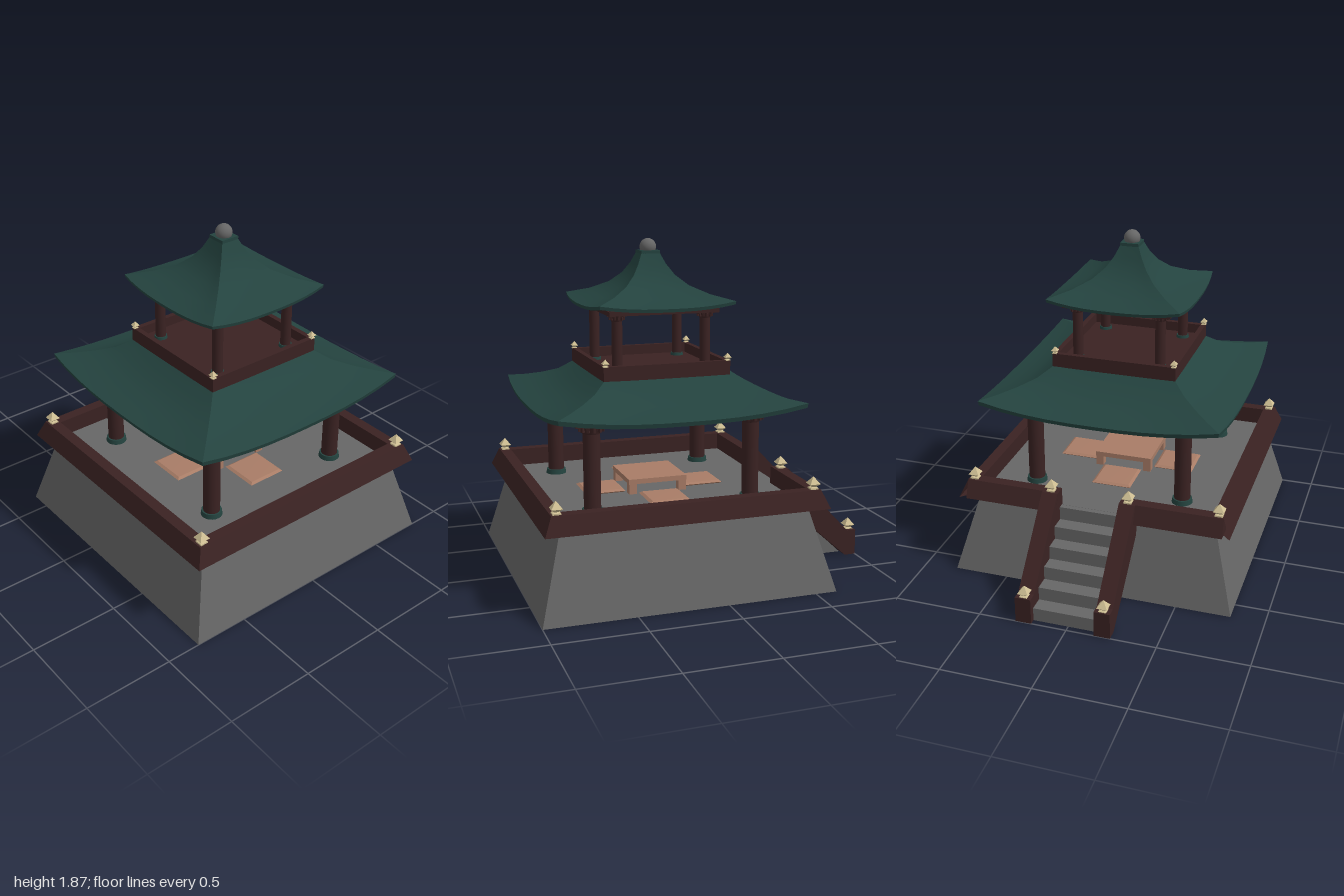
import * as THREE from 'three';
import { toCreasedNormals } from 'three/addons/utils/BufferGeometryUtils.js';

const mat = (name, color) => {
  const m = new THREE.MeshStandardMaterial({ color, side: THREE.DoubleSide });
  m.name = name;
  return m;
};

export function createModel() {
  const stone = mat('grey stone', 0x666666);
  const wood = mat('dark red wood', 0x3a2222);
  const tile = mat('dark teal tile', 0x24433f);
  const cream = mat('cream finial', 0xcdbd92);
  const tan = mat('tan furniture', 0xa87c66);

  const model = new THREE.Group();
  model.name = 'pavilion';
  const tower = new THREE.Group(); // everything centred on the tower axis
  tower.name = 'tower';
  tower.position.x = 0.19;
  model.add(tower);

  const add = (parent, name, geo, material, x = 0, y = 0, z = 0) => {
    const mesh = new THREE.Mesh(geo, material);
    mesh.name = name;
    mesh.position.set(x, y, z);
    parent.add(mesh);
    return mesh;
  };
  const box = (parent, name, m, w, h, d, x, y, z) =>
    add(parent, name, new THREE.BoxGeometry(w, h, d), m, x, y, z);
  const corners = (fn) => [-1, 1].forEach((sx) => [-1, 1].forEach((sz) => fn(sx, sz)));

  // Square ring or frustum swept from [half width, height] points
  const square = (points, sides = 4) => {
    const pts = points.map(([h, y]) => new THREE.Vector2(h * Math.SQRT2, y));
    const start = sides === 4 ? Math.PI / 4 : -Math.PI / 4;
    return toCreasedNormals(new THREE.LatheGeometry(pts, sides, start, sides * Math.PI / 2), 0.2);
  };
  // Side outline in x and y, given a depth along z
  const slab = (points, depth) => new THREE.ExtrudeGeometry(
    new THREE.Shape(points.map(([x, y]) => new THREE.Vector2(x, y))),
    { depth, bevelEnabled: false });

  const finialGeo = square([[0, 0], [0.022, 0], [0.022, 0.008], [0.011, 0.013], [0.03, 0.03], [0, 0.07]]);
  const finial = (parent, x, y, z, s = 1) =>
    add(parent, 'finial', finialGeo, cream, x, y, z).scale.setScalar(s);

  // Hollow stone base and its floor
  add(tower, 'baseWalls', square([[0.81, 0], [0.685, 0.46]]), stone);
  add(tower, 'floor', new THREE.PlaneGeometry(1.37, 1.37).rotateX(-Math.PI / 2), stone, 0, 0.46, 0);

  // Parapet on three sides, with a gap for the stairs on the fourth
  const rail = [[0.78, 0.46], [0.738, 0.56], [0.675, 0.56], [0.675, 0.46], [0.78, 0.46]];
  add(tower, 'parapet', square(rail, 3), wood);
  const railSide = rail.slice(0, 4).map(([h, y]) => [-h, y]);
  add(tower, 'parapetBesideStairs', slab(railSide, 0.54), wood, 0, 0, -0.738);
  add(tower, 'parapetBesideStairs', slab(railSide, 0.583), wood, 0, 0, 0.155);
  corners((sx, sz) => finial(tower, sx * 0.706, 0.56, sz * 0.706));

  // Stairs
  const stairs = new THREE.Group();
  stairs.name = 'stairs';
  stairs.position.z = -0.0215;
  model.add(stairs);
  const run = 0.0876, rise = 0.46 / 6;
  for (let i = 0; i < 6; i++) {
    const x = -0.965 + i * run;
    add(stairs, 'riser', new THREE.PlaneGeometry(0.37, rise).rotateY(-Math.PI / 2), stone, x, (i + 0.5) * rise, 0);
    add(stairs, 'tread', new THREE.PlaneGeometry(run, 0.37).rotateX(-Math.PI / 2), stone,
      x + run / 2, (i + 1) * rise - (i === 5 ? 0.001 : 0), 0);
  }
  add(stairs, 'stairBack', new THREE.PlaneGeometry(0.4, 0.455).rotateY(Math.PI / 2), stone, -0.37, 0.2275, 0);
  const wallShape = new THREE.Shape(
    [[-0.93, 0], [-0.37, 0], [-0.37, 0.455], [-0.5, 0.455], [-0.53, 0.38]].map((p) => new THREE.Vector2(...p)));
  const banister = [[-1, 0], [-0.935, 0], [-0.53, 0.36], [-0.5, 0.46], [-0.5, 0.56],
    [-0.56, 0.56], [-0.945, 0.15], [-1, 0.15]];
  for (const s of [-1, 1]) {
    const z = s * 0.2225;
    add(stairs, 'stairWall', new THREE.ShapeGeometry(wallShape), stone, 0, 0, s * 0.2);
    add(stairs, 'banister', slab(banister, 0.09), wood, 0, 0, z - 0.045);
    finial(stairs, -0.97, 0.145, z);
    finial(stairs, -0.528, 0.56, z);
  }

  // Columns with footings and ribbed bracket capitals
  const column = (parent, r, y0, y1, x, z) => {
    const g = new THREE.Group();
    g.name = 'column';
    g.position.set(x, 0, z);
    parent.add(g);
    const c = r * 1.5;
    add(g, 'shaft', new THREE.CylinderGeometry(r, r, y1 - y0, 20), wood, 0, (y0 + y1) / 2, 0);
    add(g, 'footing', new THREE.CylinderGeometry(r * 1.2, r * 1.3, r * 0.7, 20), tile, 0, y0 + r * 0.35, 0);
    add(g, 'capital', new THREE.CylinderGeometry(r * 1.6, r * 1.05, c, 16), wood, 0, y1 - c / 2, 0);
    for (let i = 0; i < 12; i++) {
      const a = i * Math.PI / 6;
      const arm = new THREE.Group();
      arm.name = 'bracketArm';
      arm.rotation.y = a;
      g.add(arm);
      box(arm, 'upperBracket', wood, r * 0.95, r * 0.6, r * 0.42, r * 1.4, y1 - r * 0.32, 0);
      box(arm, 'lowerBracket', wood, r * 0.75, r * 0.55, r * 0.32, r * 1.15, y1 - r * 0.95, 0);
    }
  };
  corners((sx, sz) => {
    column(tower, 0.046, 0.455, 0.965, sx * 0.449, sz * 0.435);
    column(tower, 0.029, 1.165, 1.495, sx * 0.25, sz * 0.24);
  });

  // Curved roof: rows of [half width, height] at the middle, then at the corner
  const roof = (name, rows) => {
    const n = 10, pos = [], idx = [];
    for (let side = 0; side < 4; side++) {
      const c = Math.round(Math.cos(side * Math.PI / 2)), s = Math.round(Math.sin(side * Math.PI / 2));
      const first = pos.length / 3;
      rows.forEach(([rm, ym, rc, yc], j) => {
        for (let i = 0; i <= n; i++) {
          const u = i / n * 2 - 1, w = Math.abs(u) ** 2.5;
          const x = u * rc, z = rm + (rc - rm) * w;
          pos.push(x * c + z * s, ym + (yc - ym) * w, z * c - x * s);
          if (i < n && j < rows.length - 1) {
            const a = first + j * (n + 1) + i, b = a + n + 1;
            idx.push(a, b, a + 1, b, b + 1, a + 1);
          }
        }
      });
    }
    const geo = new THREE.BufferGeometry();
    geo.setAttribute('position', new THREE.Float32BufferAttribute(pos, 3));
    geo.setIndex(idx);
    add(tower, name, toCreasedNormals(geo, 0.5), tile);
  };
  roof('lowerRoof', [
    [0.34, 1.16, 0.34, 1.16], [0.43, 1.08, 0.425, 1.096], [0.53, 1.03, 0.51, 1.064],
    [0.62, 1.0, 0.595, 1.042], [0.706, 0.98, 0.68, 1.027],
    [0.7, 0.957, 0.676, 1.002], [0.55, 0.975, 0.55, 0.975]]);
  roof('upperRoof', [
    [0.05, 1.8, 0.05, 1.8], [0.08, 1.728, 0.08, 1.735], [0.118, 1.665, 0.118, 1.678],
    [0.18, 1.608, 0.178, 1.624], [0.275, 1.558, 0.27, 1.58], [0.4, 1.524, 0.38, 1.55],
    [0.396, 1.506, 0.377, 1.532], [0.3, 1.512, 0.3, 1.512]]);

  // Ceilings that close the roofs from below
  box(tower, 'lowerCeiling', wood, 1.126, 0.025, 1.126, 0, 0.967, 0);
  box(tower, 'upperCeiling', wood, 0.62, 0.025, 0.62, 0, 1.497, 0);

  // Balcony between the roofs
  add(tower, 'balconyRail', square([[0.357, 1.145], [0.357, 1.225], [0.328, 1.225], [0.328, 1.145], [0.357, 1.145]]), wood);
  box(tower, 'balconyFloor', wood, 0.68, 0.02, 0.68, 0, 1.16, 0);
  corners((sx, sz) => finial(tower, sx * 0.345, 1.223, sz * 0.345, 0.6));

  // Roof cap and stone ball
  box(tower, 'roofCap', tile, 0.108, 0.03, 0.108, 0, 1.793, 0);
  add(tower, 'topBall', new THREE.SphereGeometry(0.046, 24, 16), stone, 0, 1.827, 0);

  // Low table and four cushions
  box(tower, 'tableTop', tan, 0.34, 0.028, 0.34, 0, 0.532, 0);
  corners((sx, sz) => box(tower, 'tableLeg', tan, 0.045, 0.075, 0.045, sx * 0.145, 0.487, sz * 0.145));
  const cushionGeo = square([[0.105, 0], [0.115, 0.008], [0.1, 0.018], [0, 0.02]]);
  for (let i = 0; i < 4; i++) {
    const a = i * Math.PI / 2;
    add(tower, 'cushion', cushionGeo, tan, Math.sin(a) * 0.29, 0.461, Math.cos(a) * 0.29);
  }
  return model;
}
